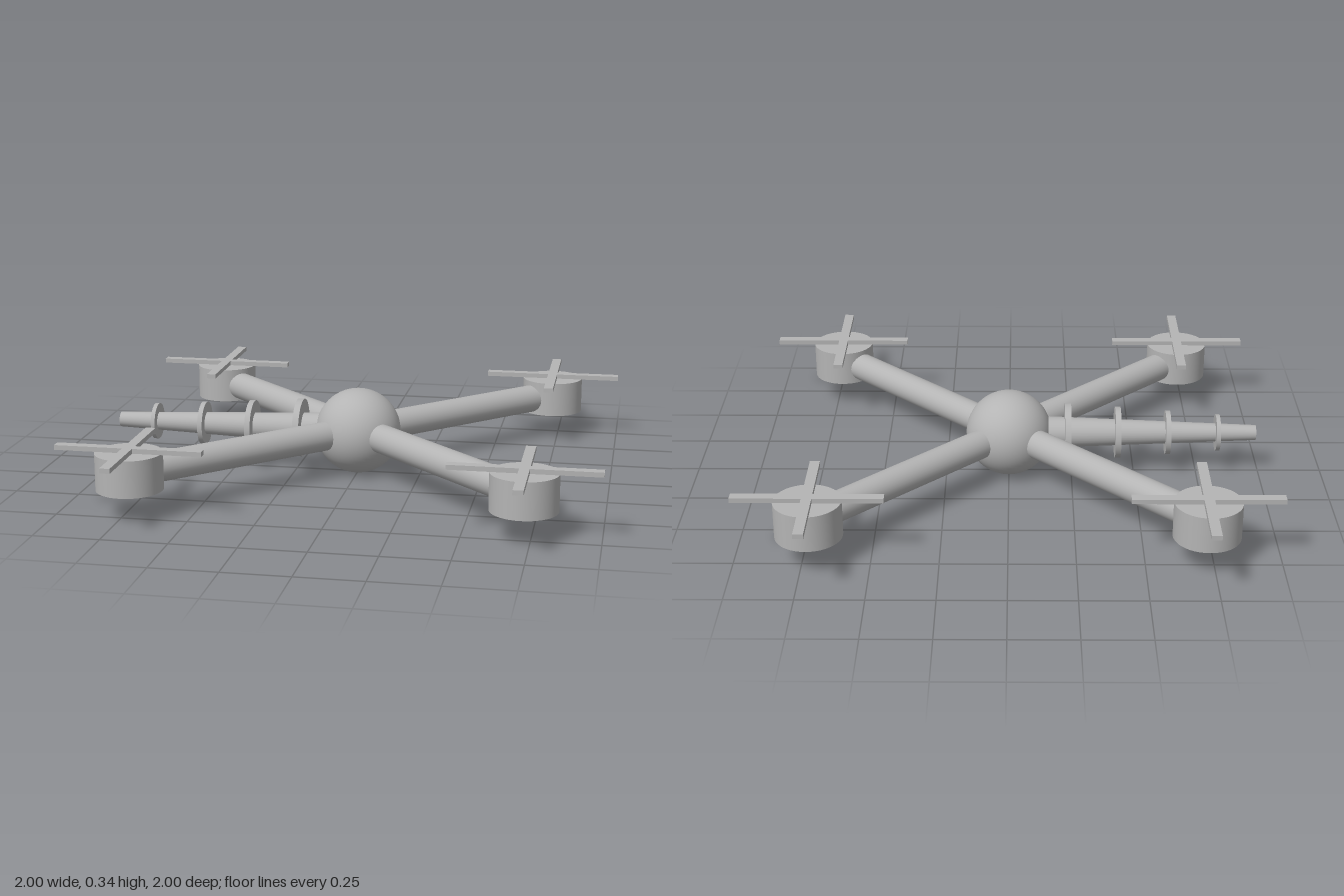
import * as THREE from 'three';

export function createModel() {
  const model = new THREE.Group();
  const grey = new THREE.MeshStandardMaterial({ color: 0xb4b4b4 });
  grey.name = 'grey';
  const MID = 0.17;   // height of the body centre
  const POD = 0.722;  // pod offset in x and z

  function add(parent, name, geometry, x, y, z) {
    const mesh = new THREE.Mesh(geometry, grey);
    mesh.name = name;
    mesh.position.set(x, y, z);
    parent.add(mesh);
    return mesh;
  }

  // Round central body
  add(model, 'body', new THREE.SphereGeometry(0.169, 48, 32), 0, MID, 0);

  // Cross-shaped rotor outline, extruded upwards
  const w = 0.019, l = 0.278;
  const cross = new THREE.Shape([
    [l, -w], [l, w], [w, w], [w, l], [-w, l], [-w, w],
    [-l, w], [-l, -w], [-w, -w], [-w, -l], [w, -l], [w, -w],
  ].map(([x, y]) => new THREE.Vector2(x, y)));
  const rotorGeo = new THREE.ExtrudeGeometry(cross, { depth: 0.018, bevelEnabled: false });
  rotorGeo.rotateX(-Math.PI / 2);

  const armLength = POD * Math.SQRT2;
  const armGeo = new THREE.CylinderGeometry(0.057, 0.057, armLength, 32);
  armGeo.rotateZ(Math.PI / 2).translate(armLength / 2, 0, 0);
  const podGeo = new THREE.CylinderGeometry(0.125, 0.125, 0.14, 40);

  // Four diagonal arms, each with a pod and a rotor
  for (const sx of [1, -1]) {
    for (const sz of [1, -1]) {
      const unit = new THREE.Group();
      unit.name = (sz > 0 ? 'front' : 'back') + (sx > 0 ? 'Left' : 'Right') + 'Arm';
      add(unit, 'arm', armGeo, 0, MID, 0).rotation.y = Math.atan2(-sz, sx);
      add(unit, 'pod', podGeo, sx * POD, 0.176, sz * POD);
      add(unit, 'rotor', rotorGeo, sx * POD, 0.246, sz * POD);
      model.add(unit);
    }
  }

  // Tapered boom towards -x with four collars
  const boom = new THREE.Group();
  boom.name = 'boom';
  const boomGeo = new THREE.CylinderGeometry(0.03, 0.067, 0.93, 32);
  boomGeo.rotateZ(Math.PI / 2);
  add(boom, 'boomTube', boomGeo, -0.517, MID, 0);
  for (let i = 0; i < 4; i++) {
    const radius = 0.116 - i * 0.0146;
    const collar = new THREE.CylinderGeometry(radius, radius, 0.025 - i * 0.003, 40);
    collar.rotateZ(Math.PI / 2);
    add(boom, 'collar', collar, -0.234 - i * 0.1985, MID, 0);
  }
  model.add(boom);

  return model;
}
